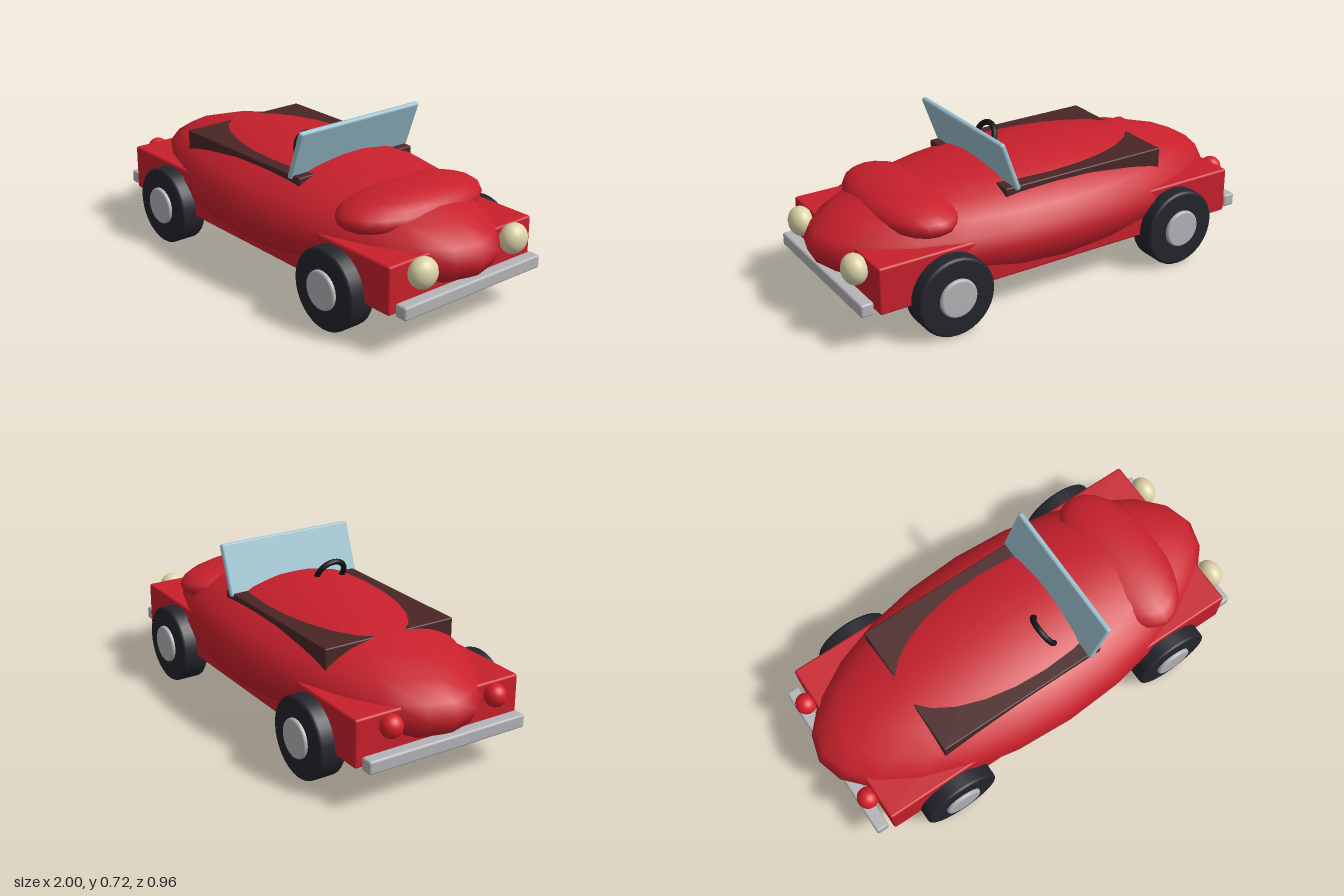
import * as THREE from 'three';
import { RoundedBoxGeometry } from 'three/addons/geometries/RoundedBoxGeometry.js';

const material = (name, color) => {
  const m = new THREE.MeshStandardMaterial({ color });
  m.name = name;
  return m;
};

export function createModel() {
  const car = new THREE.Group();
  car.name = 'roadster';

  const red = material('body red', 0xc8202c);
  const lampRed = material('tail lamp red', 0xd81f2a);
  const brown = material('cockpit brown', 0x4a2626);
  const glass = material('windscreen blue', 0x9cc2d0);
  const rubber = material('tyre black', 0x24252c);
  const black = material('steering wheel black', 0x151517);
  const chrome = material('chrome grey', 0xb4b4b8);
  const cream = material('headlight cream', 0xdcd3a8);

  const add = (name, geometry, mat, x, y, z) => {
    const mesh = new THREE.Mesh(geometry, mat);
    mesh.name = name;
    mesh.position.set(x, y, z);
    car.add(mesh);
    return mesh;
  };
  const ellipsoid = (rx, ry, rz, w = 24, h = 12) =>
    new THREE.SphereGeometry(1, w, h).scale(rx, ry, rz);
  const box = (w, h, d, r) => new RoundedBoxGeometry(w, h, d, 2, r);

  // Disc with bevelled rims, its axis along z
  const disc = (radius, width, bevel) => {
    const h = width / 2;
    const pts = [[0, -h], [radius - bevel, -h]];
    for (let i = 1; i < 4; i++) {
      const a = (i / 4) * Math.PI / 2;
      pts.push([radius - bevel + bevel * Math.sin(a), -h + bevel - bevel * Math.cos(a)]);
    }
    pts.push([radius, -h + bevel]);
    const half = pts.map(([r, y]) => new THREE.Vector2(r, y));
    const other = pts.slice().reverse().map(([r, y]) => new THREE.Vector2(r, -y));
    return new THREE.LatheGeometry([...half, ...other], 32).rotateX(Math.PI / 2);
  };

  // Bodywork
  add('body', ellipsoid(1, 0.25, 0.457), red, 0, 0.317, 0);
  add('chassis', box(1.76, 0.205, 0.79, 0.01), red, 0, 0.267, 0);
  add('hood', ellipsoid(0.2, 0.097, 0.367), red, 0.575, 0.438, 0);

  // Cockpit, windscreen and steering wheel
  add('cockpit', box(0.8, 0.1, 0.63, 0.006), brown, -0.15, 0.47, 0);
  add('windscreen', box(0.025, 0.235, 0.655, 0.011), glass, 0.232, 0.614, 0)
    .rotation.z = -0.35;
  const wheelRing = new THREE.TorusGeometry(0.07, 0.013, 10, 28).rotateY(Math.PI / 2);
  add('steeringWheel', wheelRing, black, 0.083, 0.56, 0.122).rotation.z = 0.42;

  // Wheels with hubcaps
  const tyre = disc(0.175, 0.122, 0.014);
  const hub = disc(0.084, 0.04, 0.01);
  for (const x of [-0.57, 0.57]) {
    for (const s of [-1, 1]) {
      add('tyre', tyre, rubber, x, 0.18, s * 0.401);
      add('hubcap', hub, chrome, x, 0.183, s * 0.458);
    }
  }

  // Lamps
  for (const s of [-1, 1]) {
    add('headlight', ellipsoid(0.053, 0.065, 0.065, 24, 16), cream, 0.916, 0.32, s * 0.253);
    add('tailLight', ellipsoid(0.046, 0.048, 0.048, 24, 16), lampRed, -0.912, 0.323, s * 0.253);
  }

  // Bumpers
  for (const s of [-1, 1]) {
    add('bumper', box(0.058, 0.058, 0.757, 0.01), chrome, s * 0.926, 0.195, 0);
  }

  // Stand the tyres on the ground
  car.children.forEach((part) => { part.position.y -= 0.005; });
  return car;
}
